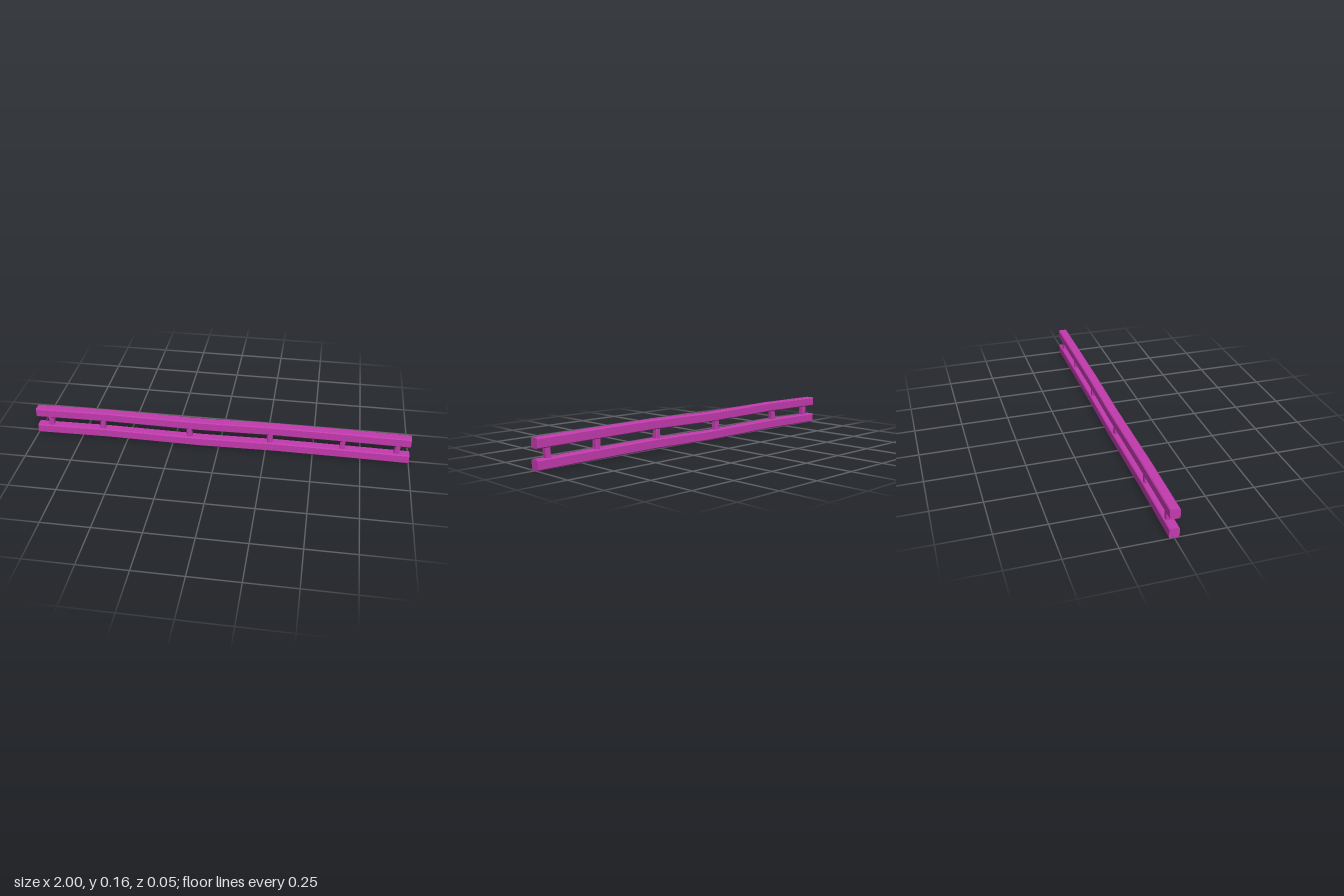
import * as THREE from 'three';

const material = new THREE.MeshStandardMaterial({ color: 0xc23aae, flatShading: true });

// Rectangle with chamfered corners, centred on the origin
function chamferedRect(w, h, c) {
  const x = w / 2, y = h / 2;
  return new THREE.Shape([
    [x - c, -y], [x, -y + c], [x, y - c], [x - c, y],
    [-x + c, y], [-x, y - c], [-x, -y + c], [-x + c, -y],
  ].map(([a, b]) => new THREE.Vector2(a, b)));
}

// Bar of the given section, centred along z
function bar(w, h, c, length, steps) {
  return new THREE.ExtrudeGeometry(chamferedRect(w, h, c), { depth: length, steps, bevelEnabled: false })
    .translate(0, 0, -length / 2);
}

// Slight rise and fall of the rails along x
const wave = [[-1, 0.001], [-0.6, 0.006], [-0.1, 0], [0.3, 0.0065], [0.7, 0.004], [1, 0.001]];
function rise(x) {
  for (let i = 1; i < wave.length; i++) {
    const [x0, y0] = wave[i - 1], [x1, y1] = wave[i];
    if (x <= x1 || i === wave.length - 1) return y0 + (y1 - y0) * (x - x0) / (x1 - x0);
  }
}

function makeRail(name, y) {
  const geo = bar(0.049, 0.05, 0.005, 2, 20).rotateY(Math.PI / 2);
  const p = geo.attributes.position;
  for (let i = 0; i < p.count; i++) p.setY(i, p.getY(i) + y + rise(p.getX(i)));
  geo.computeVertexNormals();
  const rail = new THREE.Mesh(geo, material);
  rail.name = name;
  return rail;
}

export function createModel() {
  const group = new THREE.Group();
  group.name = 'railing';
  group.add(makeRail('lowerRail', 0.025), makeRail('upperRail', 0.125));

  // Short, slightly tilted posts joining the rails: x and tilt
  const posts = [[-0.925, 0.02], [-0.635, -0.07], [-0.16, 0.05], [0.272, 0.04], [0.653, 0.03], [0.935, -0.08]];
  const postGeo = bar(0.028, 0.032, 0.004, 0.075, 1).rotateX(-Math.PI / 2);
  posts.forEach(([x, tilt], i) => {
    const post = new THREE.Mesh(postGeo, material);
    post.name = `post${i + 1}`;
    post.position.set(x, 0.075 + rise(x), 0);
    post.rotation.z = tilt;
    group.add(post);
  });
  return group;
}
